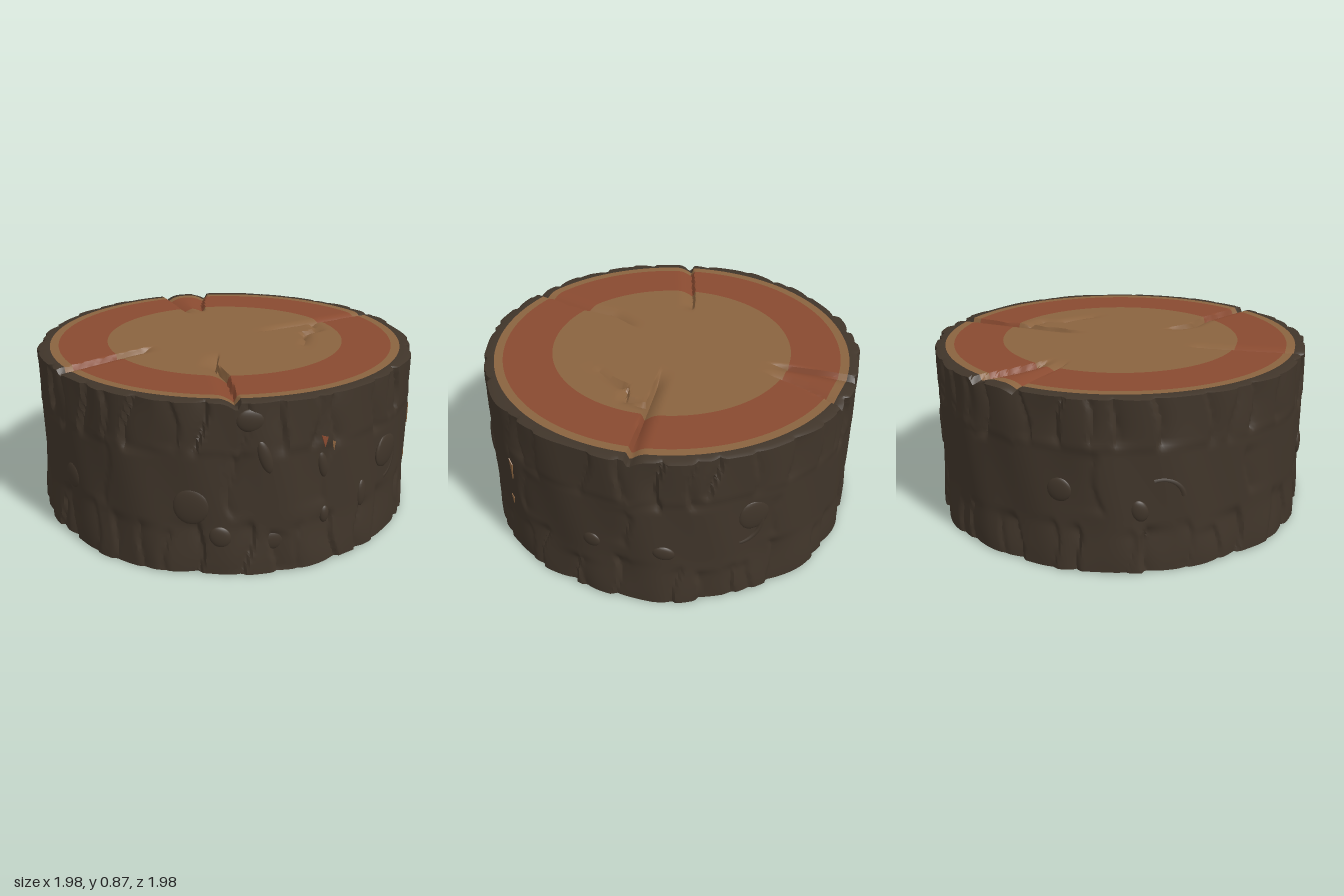
import * as THREE from 'three';
import { toCreasedNormals } from 'three/addons/utils/BufferGeometryUtils.js';

const H = 0.87, BASE = 0.01, SEG = 420, TAU = Math.PI * 2;
const R_HEART = 0.625, R_RED = 0.88, R_WOOD = 0.925;

let seed = 11;
const rand = () => ((seed = (seed * 16807) % 2147483647) / 2147483647);
const clamp = (v) => Math.min(1, Math.max(0, v));
const smooth = (a, b, v) => { const t = clamp((v - a) / (b - a)); return t * t * (3 - 2 * t); };

// Drying cracks on the top face: path from the heart outwards, sloping side, width of slope, depth
const cracks = [
  { path: [[-0.03, -0.5], [-0.045, -0.75], [-0.05, -1.0]], side: 1, w: 0.09, depth: 0.03 },
  { path: [[0.05, -0.51], [0.12, -0.75], [0.23, -1.0]], side: -1, w: 0.1, depth: 0.035 },
  { path: [[0.2, -0.03], [0.5, -0.08], [1.0, -0.17]], side: -1, w: 0.08, depth: 0.04 },
  { path: [[0.3, 0.36], [0.44, 0.06], [0.53, 0.03], [0.54, -0.07]], side: 1, w: 0.06, depth: 0.03 },
  { path: [[-0.12, 0.24], [-0.2, 0.42], [-0.2, 0.58], [-0.29, 1.0]], side: 1, w: 0.09, depth: 0.04 },
  { path: [[-0.4, 0.03], [-0.55, 0.08], [-1.0, 0.26]], side: -1, w: 0.09, depth: 0.035 },
];

function topY(x, z) {
  let drop = 0;
  for (const c of cracks) {
    let best = 9, sign = 1, along = 0;
    const n = c.path.length - 1;
    for (let i = 0; i < n; i++) {
      const [ax, az] = c.path[i], [bx, bz] = c.path[i + 1];
      const dx = bx - ax, dz = bz - az;
      const t = clamp(((x - ax) * dx + (z - az) * dz) / (dx * dx + dz * dz));
      const d = Math.hypot(x - ax - dx * t, z - az - dz * t);
      if (d < best) { best = d; along = (i + t) / n; sign = Math.sign(dx * (z - az) - dz * (x - ax)) || 1; }
    }
    const fall = sign === c.side ? Math.max(0, 1 - best / c.w) ** 2 : Math.max(0, 1 - best / 0.012);
    drop = Math.max(drop, c.depth * fall * smooth(0, 0.3, along));
  }
  return H - drop;
}

// Bark furrows: one sharp edge and one soft edge, in a lower, an upper and a sparse middle band
const furrows = [];
function addFurrows(count, low, high, depth) {
  for (let i = 0; i < count; i++) {
    furrows.push({
      a: ((i + rand() * 0.8) / count) * TAU, low: low + rand() * 0.06, high: high - rand() * 0.1,
      depth: depth * (0.4 + rand() * 0.6), lean: (rand() - 0.5) * 0.25,
      wave: rand() * 6, dir: rand() < 0.5 ? 1 : -1, soft: 0.03 + rand() * 0.05,
    });
  }
}
addFurrows(38, -0.1, 0.3, 0.026);
addFurrows(36, 0.56, 1.0, 0.03);
addFurrows(8, 0.26, 0.66, 0.016);

function barkRadius(a, y) {
  let r = 0.978 + 0.006 * Math.sin(a * 7 + 1) + 0.004 * Math.sin(a * 17 + y * 6);
  r += 0.012 * (1 - smooth(0.02, 0.27, y)) + 0.005 * smooth(0.6, 0.64, y);
  let cut = 0;
  for (const f of furrows) {
    if (y < f.low || y > f.high) continue;
    let d = a - f.a - f.lean * (y - f.low) - 0.018 * Math.sin(y * 16 + f.wave);
    d = (d - TAU * Math.round(d / TAU)) * f.dir;
    if (d > 0.3 || d < -0.02) continue;
    const shape = d > 0 ? Math.exp(-d / f.soft) : 1 + d / 0.02;
    cut = Math.max(cut, f.depth * shape * smooth(f.low, f.low + 0.06, y) * smooth(f.high, f.high - 0.06, y));
  }
  return r - cut;
}

// Ring-by-ring surface; point(row, angle) returns a position
function ringSurface(rows, point) {
  const pos = [], idx = [];
  rows.forEach((row) => {
    for (let i = 0; i < SEG; i++) pos.push(...point(row, (i / SEG) * TAU));
  });
  for (let r = 0; r < rows.length - 1; r++) {
    for (let i = 0; i < SEG; i++) {
      const j = (i + 1) % SEG, p = r * SEG, q = p + SEG;
      idx.push(p + i, q + i, q + j, p + i, q + j, p + j);
    }
  }
  const g = new THREE.BufferGeometry();
  g.setAttribute('position', new THREE.Float32BufferAttribute(pos, 3));
  g.setIndex(idx);
  return toCreasedNormals(g, 0.6);
}

const steps = (from, to, n) => Array.from({ length: n + 1 }, (_, i) => from + ((to - from) * i) / n);

export function createModel() {
  const group = new THREE.Group();
  const material = (name, color, side = THREE.FrontSide) => {
    const m = new THREE.MeshStandardMaterial({ color, side });
    m.name = name;
    return m;
  };
  const bark = material('dark bark', 0x40352a);
  const wood = material('tan wood', 0x8a633f);
  const red = material('red wood', 0x894a30);

  const add = (name, geometry, mat) => {
    const mesh = new THREE.Mesh(geometry, mat);
    mesh.name = name;
    group.add(mesh);
    return mesh;
  };

  // Growth rings on the cracked top and the flat underside
  const bands = [
    ['heartwood', 0.001, R_HEART, 26, wood],
    ['redRing', R_HEART, R_RED, 10, red],
    ['sapwood', R_RED, R_WOOD, 2, wood],
  ];
  for (const [name, inner, outer, n, mat] of bands) {
    add(name + 'Top', ringSurface(steps(inner, outer, n), (r, a) => {
      const x = r * Math.sin(a), z = r * Math.cos(a);
      return [x, topY(x, z), z];
    }), mat);
    add(name + 'Bottom', ringSurface([outer, inner], (r, a) => [r * Math.sin(a), BASE, r * Math.cos(a)]), mat);
  }

  // Bark shell: top rim, furrowed side, bottom rim
  const barkRows = [{ t: 1, k: 0 }, { t: 1, k: 0.6 },
    ...steps(0.992, 0, 50).map((t) => ({ t, k: 1 })), { t: 0, k: 0 }];
  add('bark', ringSurface(barkRows, ({ t, k }, a) => {
    const r = R_WOOD + (barkRadius(a, t * H) - R_WOOD) * k;
    const x = r * Math.sin(a), z = r * Math.cos(a);
    const low = k === 0 ? BASE : 0.004 + 0.004 * Math.sin(a * 9);
    return [x, low + (topY(x, z) - low) * t, z];
  }), bark);

  // Knots: angle in degrees from the front, height, half width, half height, tilt
  const knots = [
    [-29, 0.35, 0.085, 0.09, 0], [-6, 0.165, 0.065, 0.05, 0], [-21, 0.2, 0.05, 0.055, 0.6],
    [35, 0.46, 0.1, 0.085, 0], [-13, 0.78, 0.065, 0.055, 0], [-9, 0.6, 0.03, 0.085, 0.3],
    [8, 0.52, 0.025, 0.07, 0.2], [23, 0.3, 0.03, 0.07, 0], [9, 0.26, 0.025, 0.045, 0],
    [-70, 0.35, 0.06, 0.065, 0], [88, 0.335, 0.045, 0.04, 0], [109, 0.325, 0.055, 0.04, -0.3],
    [135, 0.485, 0.08, 0.085, 0], [196, 0.41, 0.06, 0.06, 0.3], [218, 0.32, 0.04, 0.055, 0.3],
  ];
  const place = (mesh, deg, y, out) => {
    const a = THREE.MathUtils.degToRad(deg);
    const r = barkRadius((a + TAU) % TAU, y) + out;
    mesh.position.set(r * Math.sin(a), y, r * Math.cos(a));
    mesh.rotation.order = 'YXZ';
    mesh.rotation.y = a;
    return mesh;
  };
  const dome = new THREE.SphereGeometry(1, 20, 12);
  for (const [deg, y, w, h, tilt] of knots) {
    const knot = place(add('knot', dome, bark), deg, y, -0.003);
    knot.scale.set(w, h, 0.016);
    knot.rotation.z = tilt;
  }

  // Curved bark folds beside the larger knots
  const fold = new THREE.TorusGeometry(0.11, 0.016, 6, 16, 1.7);
  for (const [deg, y, turn] of [[34, 0.42, -1.4], [131, 0.44, -1.6], [224, 0.36, 0.2]]) {
    const mesh = place(add('barkFold', fold, bark), deg, y, -0.008);
    mesh.rotation.z = turn;
    mesh.scale.z = 0.8;
  }

  // Small chips where wood shows through the bark
  const chip = new THREE.Shape([[-0.5, 0.5], [0.1, -0.5], [0.5, 0.3]].map(([x, y]) => new THREE.Vector2(x, y)));
  const chipGeometry = new THREE.ExtrudeGeometry(chip, { depth: 0.006, bevelEnabled: false });
  for (const [deg, y, w, h, mat] of [[8, 0.64, 0.035, 0.06, red], [11, 0.61, 0.02, 0.05, wood],
    [58, 0.52, 0.03, 0.12, wood], [56, 0.3, 0.03, 0.05, wood]]) {
    place(add('barkChip', chipGeometry, mat), deg, y, -0.002).scale.set(w, h, 1);
  }
  return group;
}
